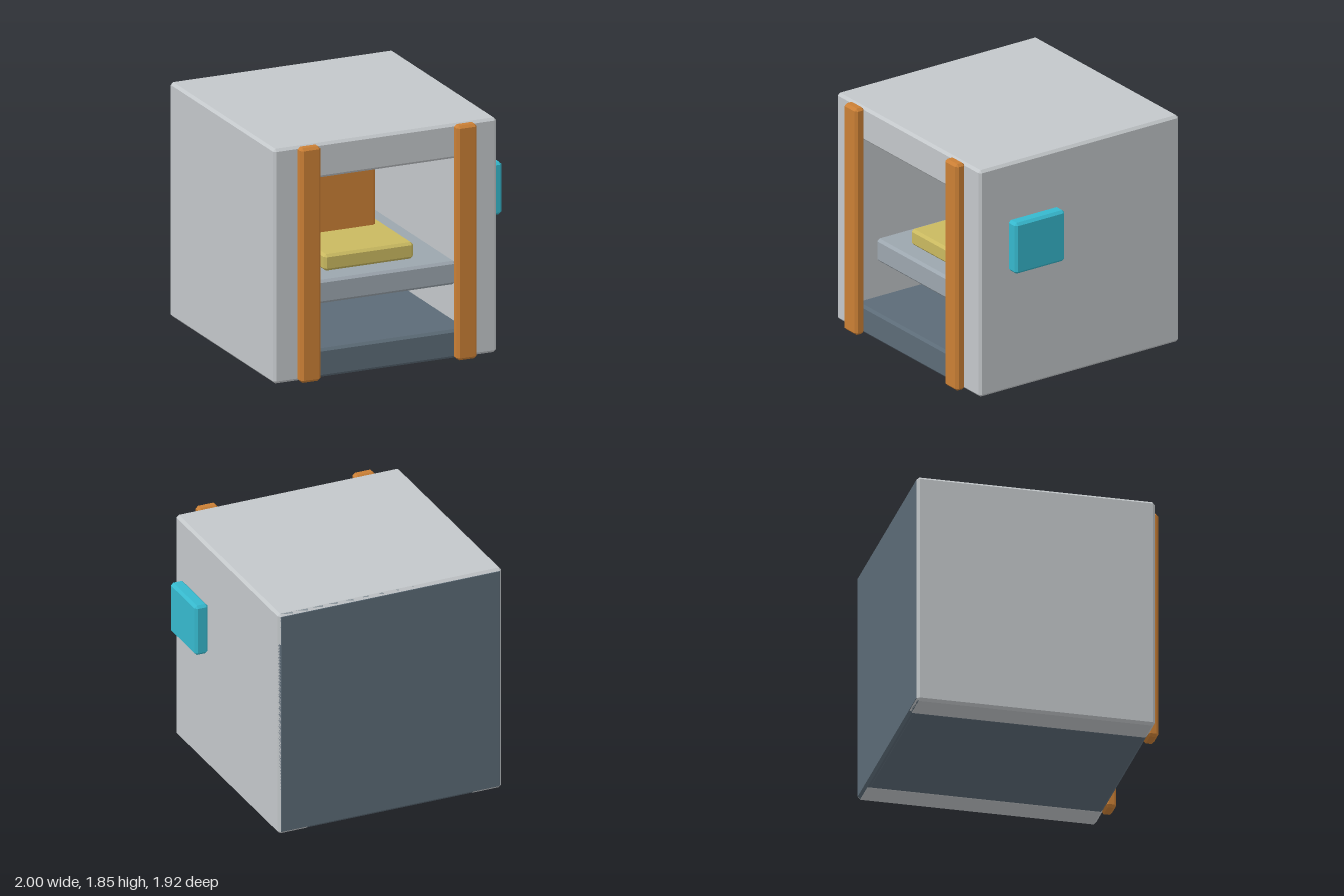
import * as THREE from 'three';
import { ConvexGeometry } from 'three/addons/geometries/ConvexGeometry.js';

function material(name, color) {
  const m = new THREE.MeshStandardMaterial({ color });
  m.name = name;
  return m;
}

// Box between two corners with every edge chamfered by b
function chamferBox([x0, y0, z0], [x1, y1, z1], b) {
  const half = [(x1 - x0) / 2, (y1 - y0) / 2, (z1 - z0) / 2];
  const points = [];
  for (const sx of [-1, 1]) for (const sy of [-1, 1]) for (const sz of [-1, 1]) {
    for (let axis = 0; axis < 3; axis++) {
      const p = half.map((h, i) => (i === axis ? h : h - b));
      points.push(new THREE.Vector3(sx * p[0], sy * p[1], sz * p[2]));
    }
  }
  return new ConvexGeometry(points);
}

export function createModel() {
  const model = new THREE.Group();
  model.name = 'cabin';

  const shell = material('pale grey', 0xc3c7ca);
  const slate = material('slate', 0x5c6b77);
  const ledge = material('mid grey', 0x9ca6ae);
  const orange = material('orange', 0xca7f35);
  const yellow = material('straw yellow', 0xc9b960);
  const cyan = material('cyan', 0x36b8cd);

  const add = (name, min, max, mat, bevel = 0.02) => {
    const mesh = new THREE.Mesh(chamferBox(min, max, bevel), mat);
    mesh.name = name;
    mesh.position.set(...min.map((v, i) => (v + max[i]) / 2));
    model.add(mesh);
  };

  // Outer shell, open at the front
  add('rightWall', [-1, 0, -0.957], [-0.74, 1.85, 0.885], shell);
  add('leftWall', [0.59, 0, -0.957], [0.85, 1.85, 0.885], shell);
  add('roof', [-1, 1.575, -0.957], [0.85, 1.85, 0.885], shell);
  add('floor', [-0.77, 0, -0.94], [0.62, 0.225, 0.882], slate);
  add('backPanel', [-0.997, 0.003, -0.96], [0.847, 1.847, -0.8], slate);

  // Front posts
  for (const x of [-0.725, 0.572]) {
    add(x < 0 ? 'rightPost' : 'leftPost', [x - 0.083, 0, 0.875], [x + 0.083, 1.85, 0.96], orange);
  }

  // Inner bench with seat
  add('bench', [-0.75, 0.515, -0.82], [0.6, 0.7, 0.7], ledge);
  add('seatCushion', [-0.445, 0.73, -0.08], [0.295, 0.86, 0.6], yellow);
  add('seatBack', [-0.375, 0.84, -0.08], [0.225, 1.58, 0.08], orange);

  // Side panel standing just off the left wall
  add('sidePanel', [0.89, 1.0, 0.2], [1.0, 1.415, 0.66], cyan);

  return model;
}
